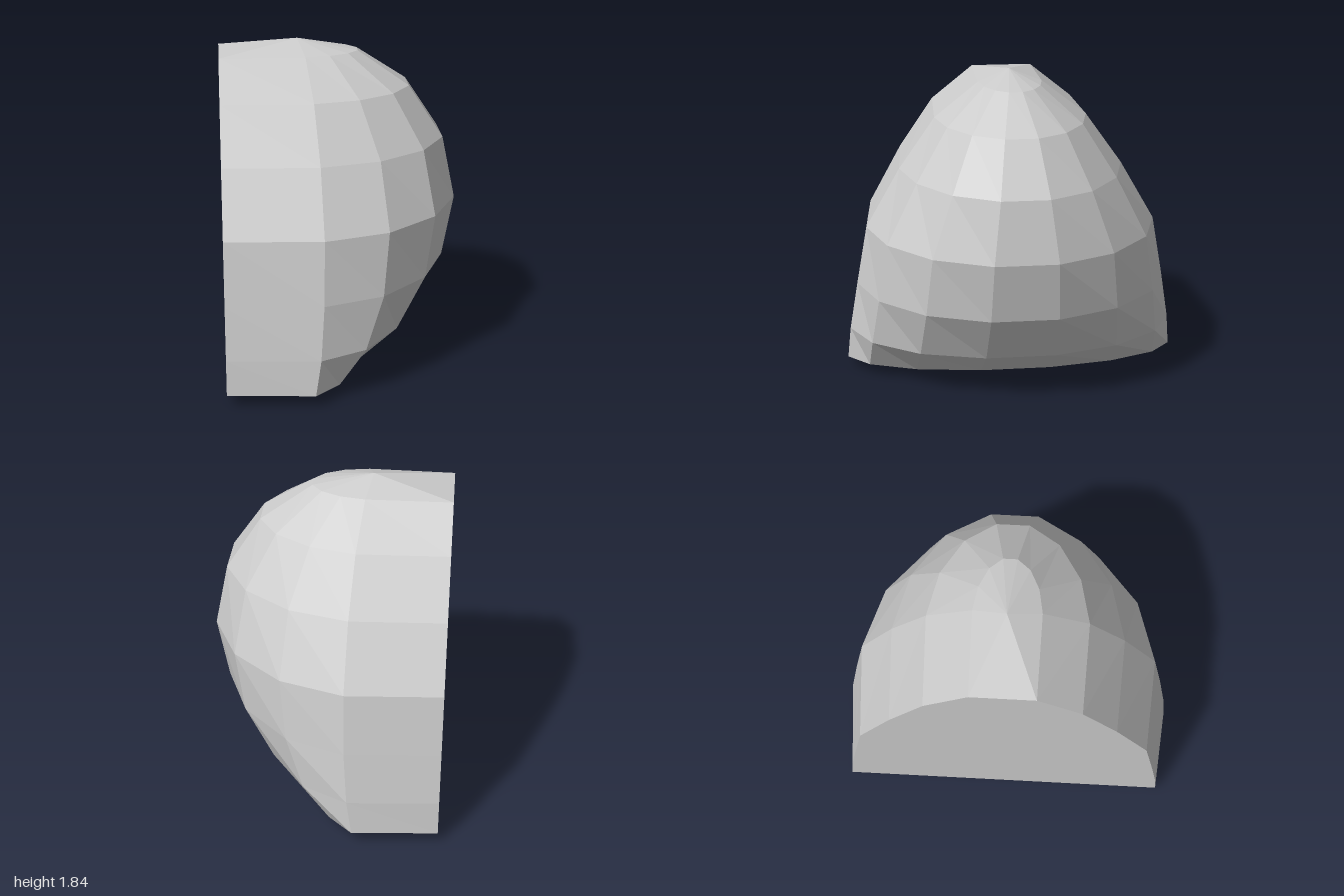
import * as THREE from 'three';

const CENTER_X = -0.225, RADIUS = 0.92, BACK_X = -0.675;
const RINGS = 8, COLUMNS = 10;
// Half depth of each ring from bottom to top: wide at the base, narrow at the crown
const HALF_DEPTHS = [1.0, 0.98, 0.93, 0.866, 0.663, 0.45, 0.189];

// One ring of the dome; the first and last columns are pushed out to the flat back
function ringPoints(k) {
  const polar = (k * Math.PI) / RINGS;
  const y = RADIUS * (1 - Math.cos(polar));
  const r = RADIUS * Math.sin(polar);
  const depth = HALF_DEPTHS[k - 1] / Math.sin(THREE.MathUtils.degToRad(84));
  return Array.from({ length: COLUMNS }, (_, i) => {
    const a = THREE.MathUtils.degToRad(-108 + 24 * i);
    const atBack = i === 0 || i === COLUMNS - 1;
    return [atBack ? BACK_X : CENTER_X + r * Math.cos(a), y, depth * Math.sin(a)];
  });
}

function domeGeometry() {
  const rings = [];
  for (let k = 1; k < RINGS; k++) rings.push(ringPoints(k));
  const bottom = [CENTER_X, 0, 0], top = [CENTER_X, 2 * RADIUS, 0];
  const positions = [];
  const tri = (a, b, c) => positions.push(...a, ...b, ...c);

  for (let i = 0; i < COLUMNS; i++) {
    const n = (i + 1) % COLUMNS; // wrapping round closes the flat back
    // Underside fan
    tri(bottom, rings[0][i], rings[0][n]);
    // Side bands
    for (let k = 0; k < rings.length - 1; k++) {
      const lo = rings[k], hi = rings[k + 1];
      tri(lo[i], hi[i], hi[n]);
      tri(lo[i], hi[n], lo[n]);
    }
    // Crown fan
    const last = rings[rings.length - 1];
    tri(last[i], top, last[n]);
  }
  const geometry = new THREE.BufferGeometry();
  geometry.setAttribute('position', new THREE.Float32BufferAttribute(positions, 3));
  geometry.computeVertexNormals();
  return geometry;
}

export function createModel() {
  const group = new THREE.Group();
  group.name = 'halfDome';
  const material = new THREE.MeshStandardMaterial({ color: 0xcccccc, flatShading: true });
  const dome = new THREE.Mesh(domeGeometry(), material);
  dome.name = 'domeShell';
  group.add(dome);
  return group;
}
